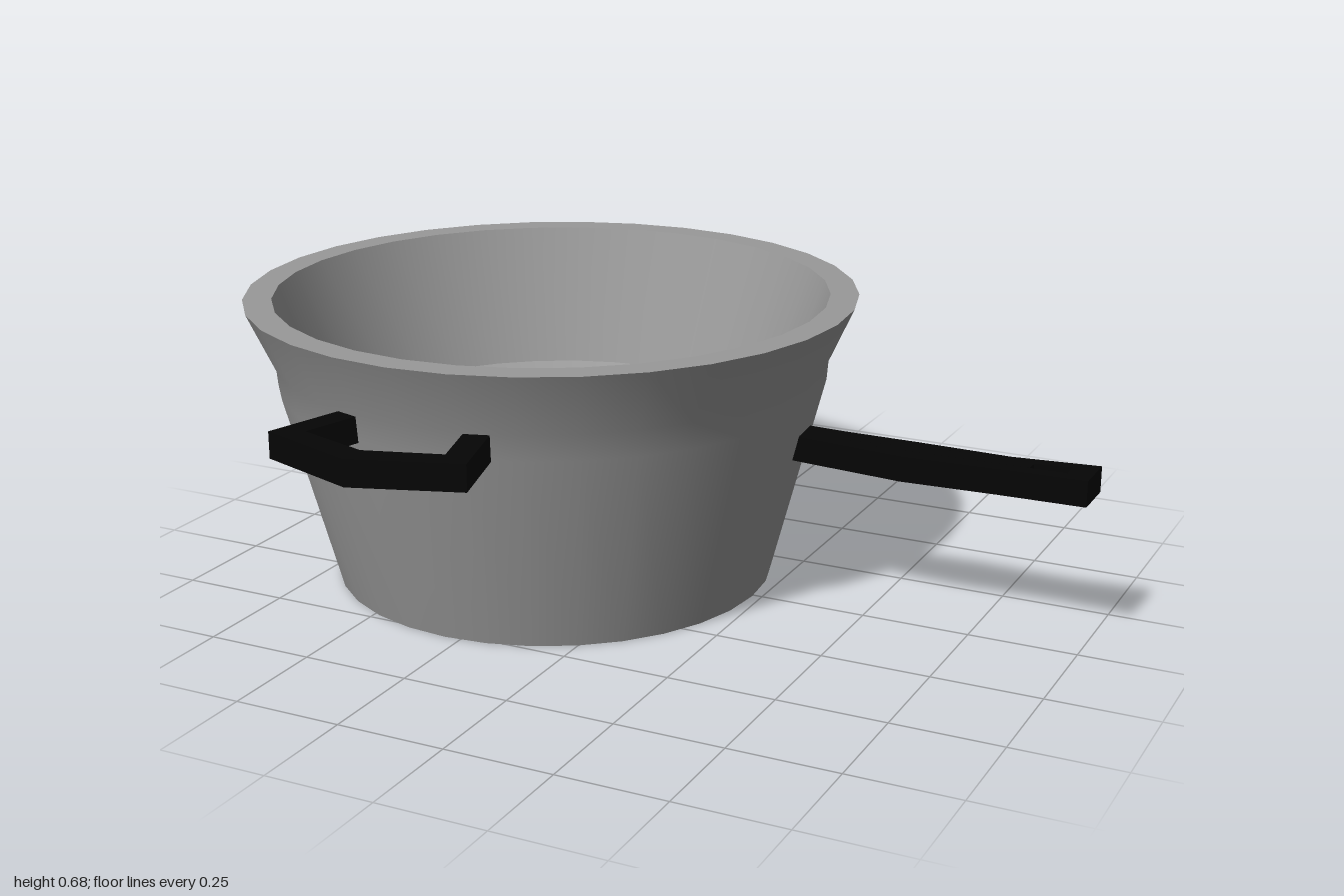
import * as THREE from 'three';

const POT_X = -0.289;

function mesh(name, geometry, material) {
  const m = new THREE.Mesh(geometry, material);
  m.name = name;
  return m;
}

// Surface of revolution; separate bands keep the edges between them sharp
function lathe(points) {
  return new THREE.LatheGeometry(points.map(([r, y]) => new THREE.Vector2(r, y)), 32);
}

// Flat bar drawn from above as [x, z] corners, raised from y0 to y1
function bar(corners, y0, y1, hole) {
  const toPoints = (list) => list.map(([x, z]) => new THREE.Vector2(x, -z));
  const shape = new THREE.Shape(toPoints(corners));
  if (hole) shape.holes.push(new THREE.Path(toPoints(hole)));
  const geometry = new THREE.ExtrudeGeometry(shape, { depth: y1 - y0, bevelEnabled: false });
  return geometry.rotateX(-Math.PI / 2).translate(0, y0, 0);
}

export function createModel() {
  const model = new THREE.Group();
  model.name = 'saucepan';
  const metal = new THREE.MeshStandardMaterial({ color: 0x999999 });
  const black = new THREE.MeshStandardMaterial({ color: 0x050505 });

  // Dished floor: a shallow spherical cap below the sloping inner wall
  const floorR = 0.523, floorY = 0.35, dish = 0.16;
  const sphereR = (floorR ** 2 + dish ** 2) / (2 * dish);
  const floor = [];
  for (let i = 0; i <= 8; i++) {
    const r = floorR * (1 - i / 8);
    floor.push([r, floorY - dish + sphereR - Math.sqrt(sphereR ** 2 - r ** 2)]);
  }

  // Pot body
  const pot = new THREE.Group();
  pot.name = 'pot';
  pot.position.set(POT_X, 0, 0.006);
  pot.add(
    mesh('base', lathe([[0, 0], [0.517, 0]]), metal),
    mesh('outerWall', lathe([[0.517, 0], [0.64, 0.47], [0.645, 0.53], [0.711, 0.675]]), metal),
    mesh('rim', lathe([[0.711, 0.675], [0.645, 0.675]]), metal),
    mesh('innerWall', lathe([[0.645, 0.675], [floorR, floorY]]), metal),
    mesh('floor', lathe(floor), metal),
  );
  model.add(pot);

  // Angular loop handles on the front and back
  const outer = [[0.185, 0.61], [0.24, 0.8], [0, 0.882], [-0.24, 0.8], [-0.185, 0.61]];
  const inner = [[-0.125, 0.61], [-0.17, 0.765], [0, 0.818], [0.17, 0.765], [0.125, 0.61]];
  for (const [name, turn] of [['frontLoopHandle', 0], ['backLoopHandle', Math.PI]]) {
    const loop = mesh(name, bar([...outer, ...inner], 0.467, 0.527), black);
    loop.position.x = POT_X;
    loop.rotation.y = turn;
    model.add(loop);
  }

  // Long handle with a hanging hole, swelling in the middle and at the tip
  const edge = [[0.3, 0.042], [0.42, 0.046], [0.58, 0.055], [0.8, 0.046], [1, 0.055]];
  const midZ = -0.05;
  const outline = [
    ...edge.map(([x, w]) => [x, midZ + w]),
    ...edge.map(([x, w]) => [x, midZ - w]).reverse(),
  ];
  const hole = [[0.86, -0.067], [0.945, -0.073], [0.945, -0.032], [0.86, -0.038]];
  const geometry = bar(outline, 0.339, 0.398, hole);

  // Slight sag along the middle of the handle
  const p = geometry.attributes.position;
  for (let i = 0; i < p.count; i++) {
    const t = (p.getX(i) - 0.3) / 0.7;
    p.setY(i, p.getY(i) + 0.004 - 0.007 * Math.sin(Math.PI * t));
  }
  geometry.computeVertexNormals();
  model.add(mesh('longHandle', geometry, black));

  return model;
}
